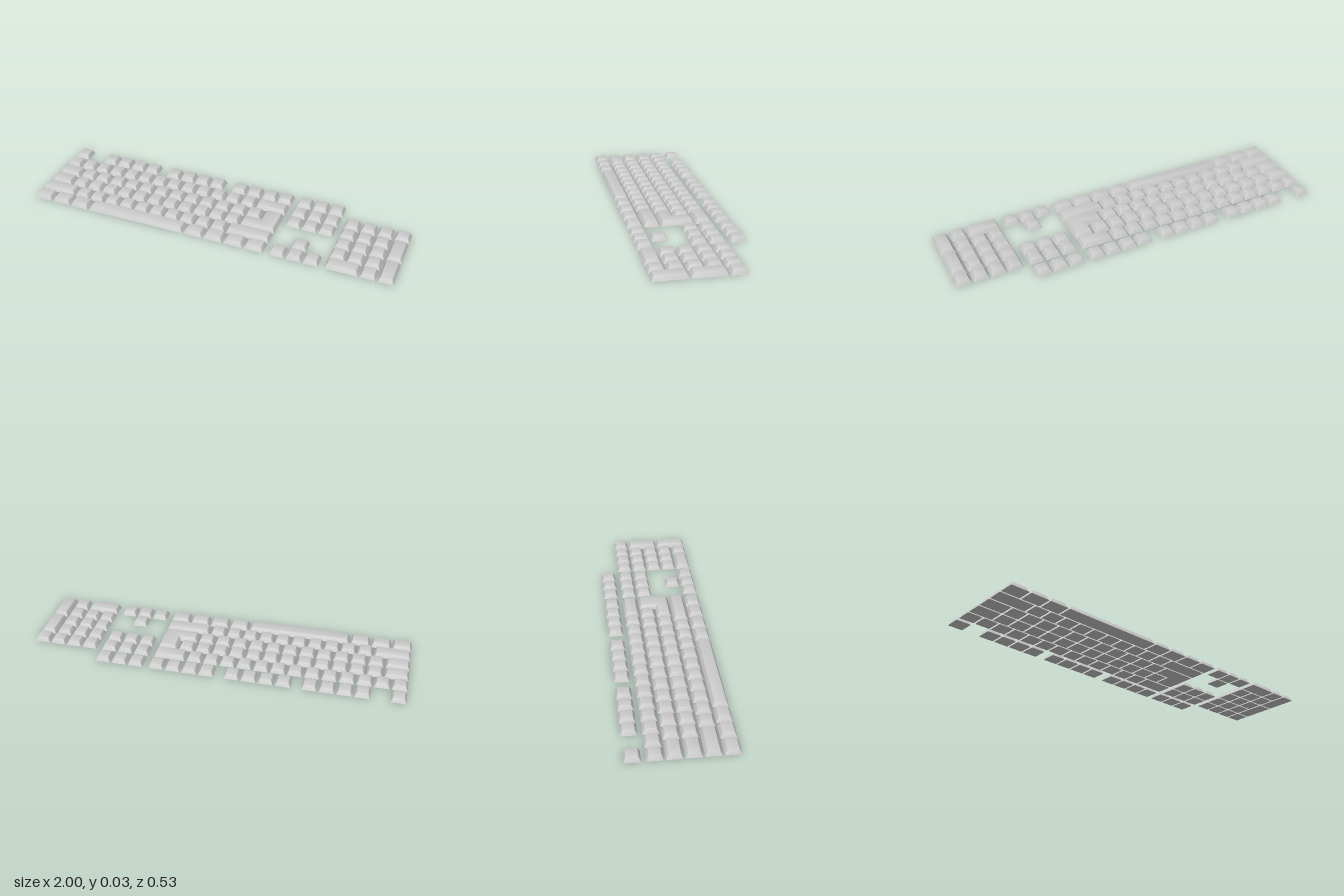
import * as THREE from 'three';
import { toCreasedNormals } from 'three/addons/utils/BufferGeometryUtils.js';

const U = 0.0893;      // key pitch across
const GAP = 0.0095;    // space between keys across
const DEPTH = 0.0795;  // depth of a single key
const ROW = { function: -0.2273, number: -0.125, upper: -0.037, home: 0.051, lower: 0.139, bottom: 0.227 };
const material = new THREE.MeshStandardMaterial({ color: 0xcccccc });

// Shrinks a right-angled counter-clockwise outline and rounds its corners.
function insetOutline(corners, inset, radius) {
  const n = corners.length;
  const out = [];
  for (let i = 0; i < n; i++) {
    const p = corners[i];
    const d1 = p.clone().sub(corners[(i + n - 1) % n]).normalize();
    const d2 = corners[(i + 1) % n].clone().sub(p).normalize();
    const c = new THREE.Vector2(p.x - (d1.y + d2.y) * inset, p.y + (d1.x + d2.x) * inset);
    const a = c.clone().addScaledVector(d1, -radius);
    const b = c.clone().addScaledVector(d2, radius);
    const curve = new THREE.QuadraticBezierCurve(a, c, b);
    for (let k = 0; k <= 3; k++) out.push(curve.getPoint(k / 3));
  }
  return out;
}

// Tapered keycap: stacked outlines with a softened top rim, closed above and below.
function keycapGeometry(corners) {
  const sections = [[0, 0, 0.004], [0.0215, 0.0095, 0.005], [0.0243, 0.0112, 0.005], [0.0255, 0.0138, 0.004]];
  const rings = sections.map(([y, inset, r]) => ({ y, pts: insetOutline(corners, inset, r) }));
  const pos = [];
  const put = (ring, i) => pos.push(ring.pts[i].x, ring.y, -ring.pts[i].y);
  const n = rings[0].pts.length;
  for (let s = 0; s < rings.length - 1; s++) {
    const lo = rings[s], hi = rings[s + 1];
    for (let i = 0; i < n; i++) {
      const j = (i + 1) % n;
      put(lo, i); put(lo, j); put(hi, j);
      put(lo, i); put(hi, j); put(hi, i);
    }
  }
  const top = rings[rings.length - 1];
  for (const [a, b, c] of THREE.ShapeUtils.triangulateShape(top.pts, [])) {
    put(top, a); put(top, b); put(top, c);
  }
  for (const [a, b, c] of THREE.ShapeUtils.triangulateShape(rings[0].pts, [])) {
    put(rings[0], a); put(rings[0], c); put(rings[0], b);
  }
  const geo = new THREE.BufferGeometry();
  geo.setAttribute('position', new THREE.Float32BufferAttribute(pos, 3));
  return toCreasedNormals(geo, 0.5);
}

export function createModel() {
  const model = new THREE.Group();
  model.name = 'keyboardKeys';
  const left = (u) => -1 + u * U;
  const right = (u) => -1 + u * U - GAP;

  function addCap(parent, name, corners) {
    const mesh = new THREE.Mesh(keycapGeometry(corners.map(([x, z]) => new THREE.Vector2(x, -z))), material);
    mesh.name = name;
    parent.add(mesh);
  }

  // A key from column u, w units wide, reaching from one row to another.
  function addKey(parent, name, u, w, row, lastRow = row) {
    const x0 = left(u), x1 = right(u + w);
    const z0 = ROW[row] - DEPTH / 2, z1 = ROW[lastRow] + DEPTH / 2;
    addCap(parent, name, [[x0, z1], [x1, z1], [x1, z0], [x0, z0]]);
  }

  function addRun(parent, name, u, count, row, w = 1) {
    for (let i = 0; i < count; i++) addKey(parent, name, u + i * w, w, row);
  }

  function section(name) {
    const g = new THREE.Group();
    g.name = name;
    model.add(g);
    return g;
  }

  // Function row
  const functions = section('functionRow');
  addKey(functions, 'escapeKey', 0, 1, 'function');
  for (const u of [2, 6.5, 11]) addRun(functions, 'functionKey', u, 4, 'function');

  // Main block
  const main = section('mainBlock');
  addRun(main, 'numberKey', 0, 13, 'number');
  addKey(main, 'backspaceKey', 13, 2, 'number');
  addKey(main, 'tabKey', 0, 1.5, 'upper');
  addRun(main, 'letterKey', 1.5, 12, 'upper', 12.25 / 12);
  addKey(main, 'capsLockKey', 0, 1.5, 'home');
  addRun(main, 'letterKey', 1.5, 11, 'home', 11.25 / 11);
  addKey(main, 'leftShiftKey', 0, 2.25, 'lower');
  addRun(main, 'letterKey', 2.25, 10, 'lower');
  addKey(main, 'rightShiftKey', 12.25, 2.75, 'lower');
  addRun(main, 'modifierKey', 0, 3, 'bottom', 1.25);
  addKey(main, 'spaceBar', 3.75, 6.25, 'bottom');
  addRun(main, 'modifierKey', 10, 4, 'bottom', 1.25);

  // L-shaped enter key
  const front = ROW.home + DEPTH / 2, step = ROW.home - DEPTH / 2, back = ROW.upper - DEPTH / 2;
  addCap(main, 'enterKey', [
    [left(12.75), front], [right(15), front], [right(15), back],
    [left(13.75), back], [left(13.75), step], [left(12.75), step],
  ]);

  // Navigation and arrow keys
  const nav = section('navigationBlock');
  for (const row of ['function', 'number', 'upper']) addRun(nav, 'navigationKey', 15.25, 3, row);
  addKey(nav, 'upArrowKey', 16.25, 1, 'lower');
  addRun(nav, 'arrowKey', 15.25, 3, 'bottom');

  // Number pad
  const pad = section('numberPad');
  addRun(pad, 'padTopKey', 18.5, 4, 'number');
  for (const row of ['upper', 'home', 'lower']) addRun(pad, 'padNumberKey', 18.5, 3, row);
  addKey(pad, 'padZeroKey', 18.5, 2, 'bottom');
  addKey(pad, 'padPointKey', 20.5, 1, 'bottom');
  addKey(pad, 'padPlusKey', 21.5, 1, 'upper', 'home');
  addKey(pad, 'padEnterKey', 21.5, 1, 'lower', 'bottom');

  return model;
}
